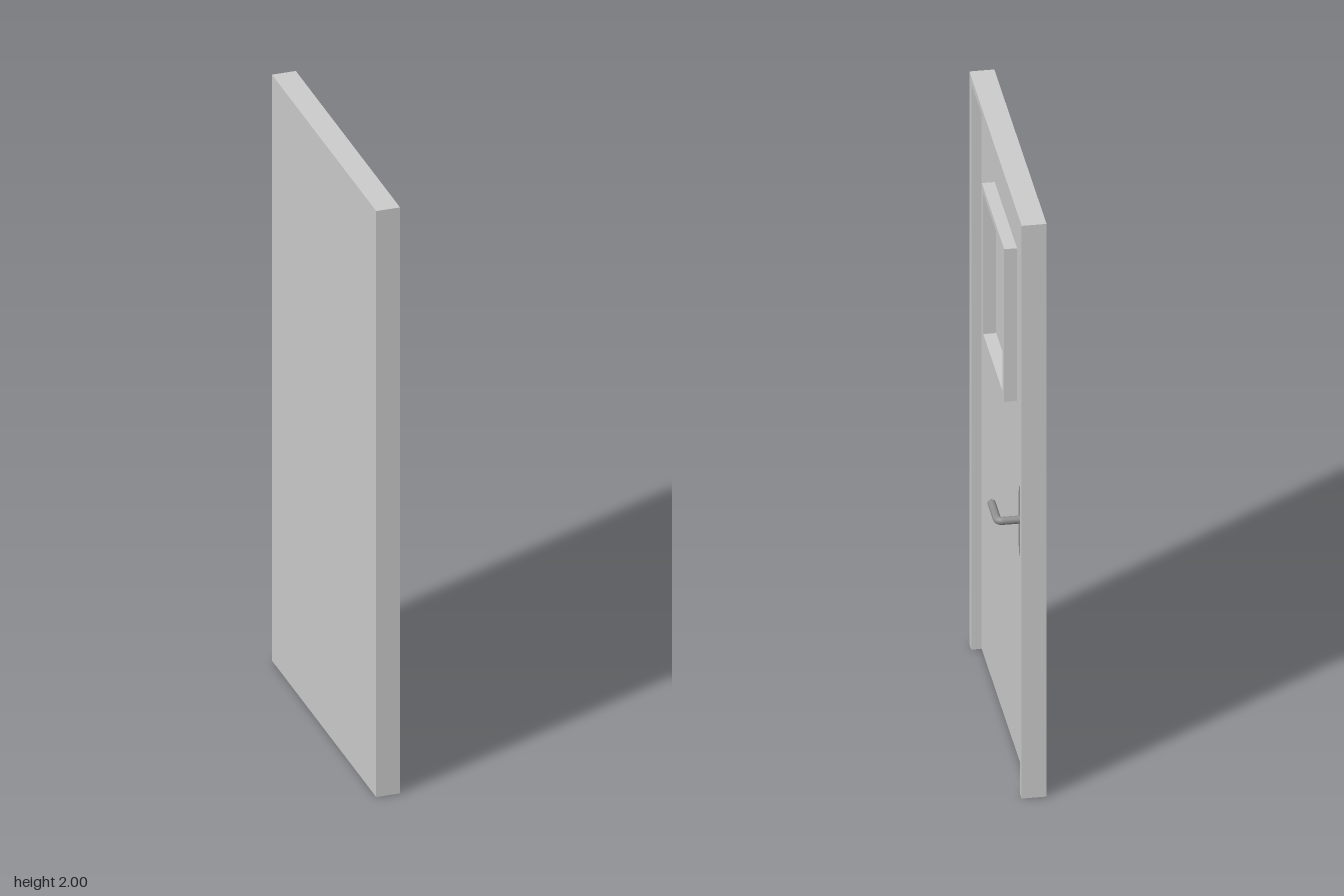
import * as THREE from 'three';

// Outline in the door plane: u runs along -z, v runs up
function polygon(points) {
  return points.map(([u, v]) => new THREE.Vector2(u, v));
}

function rectangle(halfWidth, bottom, top) {
  return polygon([[-halfWidth, bottom], [halfWidth, bottom], [halfWidth, top], [-halfWidth, top]]);
}

// Extrude an outline from x = back to x = front
function slab(shape, back, front) {
  const geometry = new THREE.ExtrudeGeometry(shape, {
    depth: front - back, bevelEnabled: false, curveSegments: 16,
  });
  geometry.rotateY(Math.PI / 2);
  geometry.translate(back, 0, 0);
  return geometry;
}

export function createModel() {
  const door = new THREE.Group();
  door.name = 'door';
  const grey = new THREE.MeshStandardMaterial({ color: 0xcccccc });
  const metal = new THREE.MeshStandardMaterial({ color: 0x8f8f8f });
  const add = (name, geometry, material, parent = door) => {
    const mesh = new THREE.Mesh(geometry, material);
    mesh.name = name;
    parent.add(mesh);
    return mesh;
  };

  const back = -0.075, panelFace = -0.03;

  // Full-size leaf, flat on the back
  add('doorPanel', slab(new THREE.Shape(rectangle(0.49, 0, 2)), back, panelFace), grey);

  // Door frame: two jambs and a head standing proud of the panel
  const frame = new THREE.Shape(polygon([
    [-0.49, 0], [-0.455, 0], [-0.455, 1.975], [0.455, 1.975],
    [0.455, 0], [0.49, 0], [0.49, 2], [-0.49, 2],
  ]));
  add('doorFrame', slab(frame, panelFace, 0.002), grey);

  // Raised window surround
  const surround = new THREE.Shape(rectangle(0.21, 1.232, 1.765));
  surround.holes.push(new THREE.Path(rectangle(0.182, 1.253, 1.742)));
  add('windowFrame', slab(surround, panelFace, 0.01), grey);

  // Handle: rounded backplate and bent lever
  const handle = new THREE.Group();
  handle.name = 'handle';
  door.add(handle);

  const plate = new THREE.Shape();
  const u = 0.376, r = 0.026;
  plate.absarc(u, 0.997, r, 0, Math.PI, false);
  plate.absarc(u, 0.804, r, Math.PI, Math.PI * 2, false);
  plate.closePath();
  add('handlePlate', slab(plate, panelFace, -0.012), metal, handle);

  const y = 0.913, barX = 0.058, barZ = -0.38, bend = 0.018, radius = 0.0125;
  const point = (x, z) => new THREE.Vector3(x, y, z);
  const path = new THREE.CurvePath();
  path.add(new THREE.LineCurve3(point(-0.02, barZ), point(barX - bend, barZ)));
  path.add(new THREE.QuadraticBezierCurve3(
    point(barX - bend, barZ), point(barX, barZ), point(barX, barZ + bend)));
  path.add(new THREE.LineCurve3(point(barX, barZ + bend), point(barX, -0.266)));
  add('lever', new THREE.TubeGeometry(path, 48, radius, 20), metal, handle);

  // Rounded lever end
  const tip = add('leverTip', new THREE.SphereGeometry(radius, 20, 12), metal, handle);
  tip.position.copy(point(barX, -0.266));

  return door;
}
